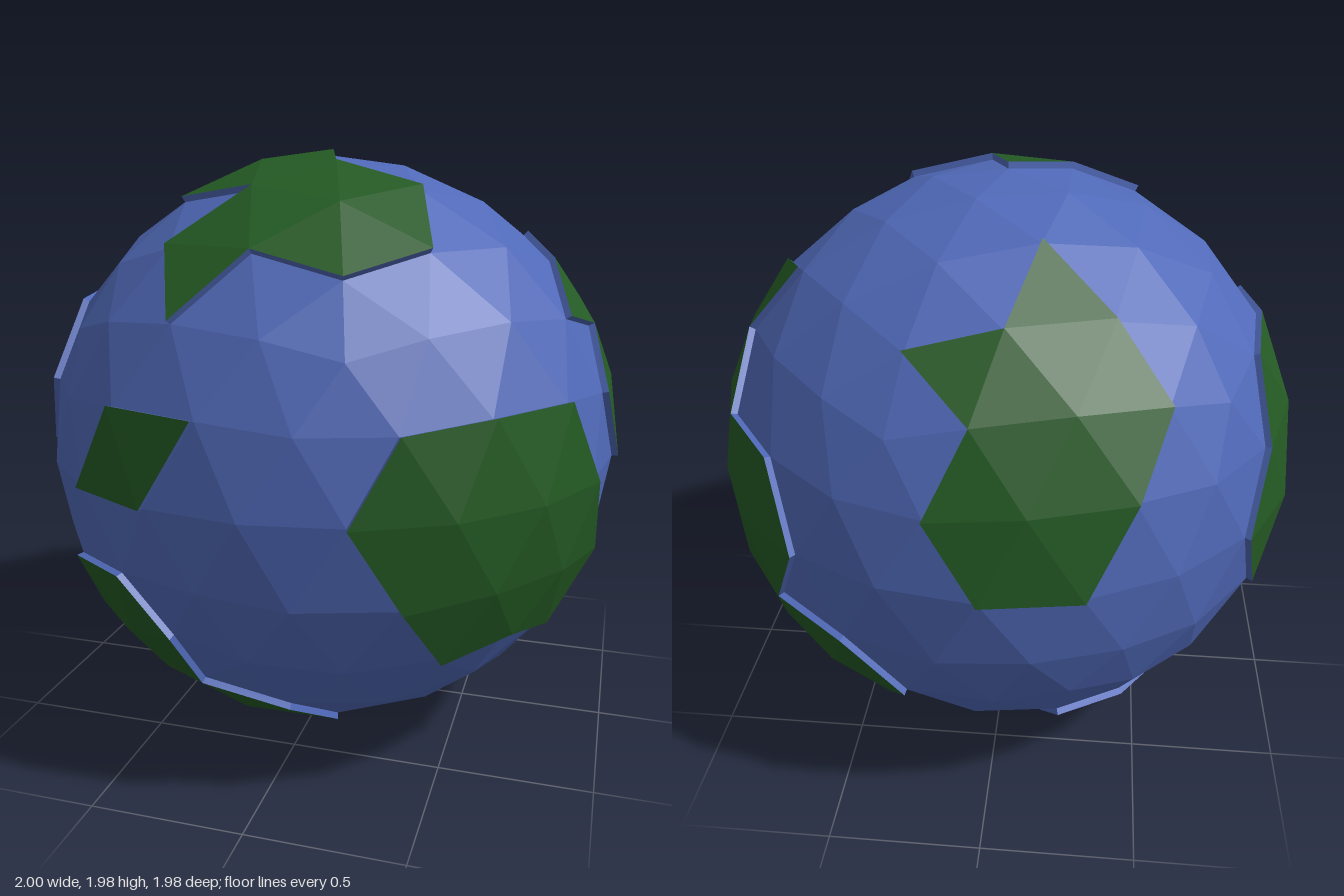
import * as THREE from 'three';

const SEA = 0.978;  // sea radius
const LAND = 1;     // raised land radius

const seaBlue = new THREE.MeshStandardMaterial({ color: 0x5069b8 });
const landGreen = new THREE.MeshStandardMaterial({ color: 0x245a24 });

// Round lands: every facet touching one of these corners of the globe
const ROUND_LANDS = {
  frontLeftLand: [[0.588, 0, 0.809], [0.809, 0, 0.588], [0.687, -0.251, 0.682], [0.861, -0.251, 0.443]],
  rightLand: [[-0.951, 0.276, 0.138], [-0.951, 0.276, -0.138], [-0.951, 0, -0.309]],
  frontRightLand: [[-0.447, -0.724, 0.526], [-0.484, -0.502, 0.717], [-0.163, -0.851, 0.5]],
};

// Jagged lands: the facets within an outline, seen along an axis on one side of the globe.
// Outlines are [x, y] along z, [z, y] along x and [x, z] along y.
const JAGGED_LANDS = [
  { name: 'northLand', axis: 'y', side: 1, outline: [[0, 0], [0.08, 0.24], [0.36, 0.26], [0.43, 0.52], [0.23, 0.71],
    [-0.05, 0.68], [-0.27, 0.81], [-0.36, 0.57], [-0.14, 0.42], [-0.42, 0.31]] },
  { name: 'smallIsland', axis: 'z', side: 1, outline: [[-0.59, 0], [-0.45, 0.275], [-0.14, 0.275], [-0.31, 0]] },
  { name: 'leftLand', axis: 'x', side: 1, outline: [[0.24, 0.5], [-0.01, 0.66], [-0.25, 0.72], [-0.24, 0.5], [-0.42, 0.275],
    [-0.69, 0.27], [-0.81, 0], [-0.69, -0.25], [-0.85, -0.28], [-0.81, -0.53], [-0.59, -0.72], [-0.45, -0.66],
    [-0.17, -0.72], [-0.43, -0.27], [-0.31, 0], [0, 0], [0.14, 0.275], [0.01, 0.44]] },
  { name: 'backLand', axis: 'z', side: -1, outline: [[0, 0], [-0.31, 0], [-0.45, 0.27], [-0.51, 0.53], [-0.34, 0.75],
    [-0.14, 0.89], [-0.05, 0.73], [0.22, 0.66], [0.04, 0.51], [0.14, 0.275]] },
  { name: 'southLand', axis: 'y', side: -1, outline: [[-0.233, -0.717], [-0.163, -0.5], [-0.078, -0.239], [-0.251, 0],
    [-0.526, 0], [-0.638, -0.263], [-0.447, -0.526]] },
];

// Icosahedron standing on a corner, each edge split in four
function globeGeometry(radius) {
  const points = [new THREE.Vector3(0, 1, 0)];
  const ring = (start, y) => {
    for (let i = 0; i < 5; i++) {
      const a = THREE.MathUtils.degToRad(start + 72 * i);
      points.push(new THREE.Vector3(2 * Math.sin(a), y, 2 * Math.cos(a)).normalize());
    }
  };
  ring(18, 1);
  ring(54, -1);
  points.push(new THREE.Vector3(0, -1, 0));
  const faces = [];
  for (let i = 0; i < 5; i++) {
    const j = (i + 1) % 5;
    const u = 1 + i, v = 1 + j, l = 6 + i, m = 6 + j;
    faces.push(0, u, v, u, l, v, l, m, v, 11, m, l);
  }
  const geometry = new THREE.PolyhedronGeometry(points.flatMap((p) => p.toArray()), faces, radius, 3);
  geometry.computeVertexNormals(); // unshared corners give flat facets
  return geometry;
}

function touches(facet, hubs) {
  return hubs.some((h) => facet.some((corner) => corner.distanceTo(new THREE.Vector3(...h)) < 0.05));
}

function within(facet, { axis, side, outline }) {
  const [p, q] = { x: ['z', 'y'], y: ['x', 'z'], z: ['x', 'y'] }[axis];
  const centre = new THREE.Vector3().add(facet[0]).add(facet[1]).add(facet[2]).divideScalar(3);
  const u = centre[p], v = centre[q];
  let hit = false;
  outline.forEach(([x1, y1], i) => {
    const [x2, y2] = outline[(i + 1) % outline.length];
    if ((y1 > v) !== (y2 > v) && u < x1 + ((v - y1) / (y2 - y1)) * (x2 - x1)) hit = !hit;
  });
  return hit && centre[axis] * side > 0;
}

function meshFrom(corners, material, name) {
  const geometry = new THREE.BufferGeometry().setFromPoints(corners);
  geometry.computeVertexNormals();
  const mesh = new THREE.Mesh(geometry, material);
  mesh.name = name;
  return mesh;
}

// Raised green facets with blue cliffs around their rim
function makeLand(name, facets) {
  const key = (v) => v.toArray().map((n) => Math.round(n * 1000)).join();
  const edges = new Map();
  for (const f of facets) {
    f.forEach((a, i) => {
      const b = f[(i + 1) % 3];
      edges.set(key(a) + '|' + key(b), [a, b]);
    });
  }
  const cliffs = [];
  for (const [a, b] of edges.values()) {
    if (edges.has(key(b) + '|' + key(a))) continue;
    const lowA = a.clone().multiplyScalar(SEA / LAND);
    const lowB = b.clone().multiplyScalar(SEA / LAND);
    cliffs.push(lowA, lowB, b, lowA, b, a);
  }

  const land = new THREE.Group();
  land.name = name;
  land.add(meshFrom(facets.flat(), landGreen, name + 'Surface'));
  land.add(meshFrom(cliffs, seaBlue, name + 'Cliffs'));
  return land;
}

export function createModel() {
  const globe = new THREE.Group();
  globe.name = 'globe';

  const sea = new THREE.Mesh(globeGeometry(SEA), seaBlue);
  sea.name = 'sea';
  globe.add(sea);

  // Facets of the land shell as corner triples
  const position = globeGeometry(LAND).getAttribute('position');
  const facets = [];
  for (let i = 0; i < position.count; i += 3) {
    facets.push([0, 1, 2].map((k) => new THREE.Vector3().fromBufferAttribute(position, i + k)));
  }
  for (const [name, hubs] of Object.entries(ROUND_LANDS)) {
    globe.add(makeLand(name, facets.filter((f) => touches(f, hubs))));
  }
  for (const land of JAGGED_LANDS) {
    globe.add(makeLand(land.name, facets.filter((f) => within(f, land))));
  }

  globe.position.set(0, SEA, 0.011);
  const model = new THREE.Group();
  model.name = 'planet';
  model.add(globe);
  return model;
}
